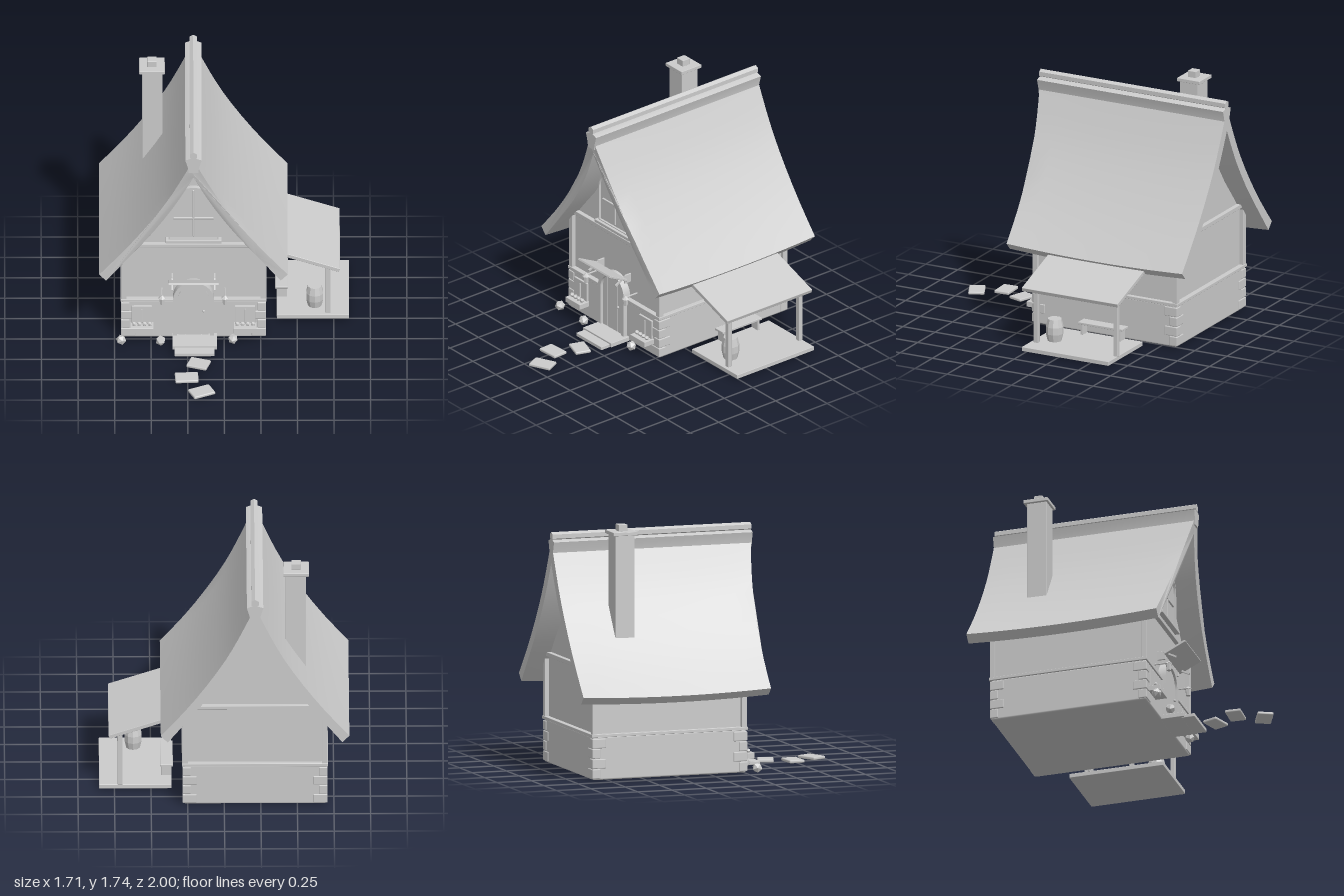
import * as THREE from 'three';
import { toCreasedNormals } from 'three/addons/utils/BufferGeometryUtils.js';
import { RoundedBoxGeometry } from 'three/addons/geometries/RoundedBoxGeometry.js';

const CX = -0.21; // centre line of the house
const V = (x, y) => new THREE.Vector2(x, y);

export function createModel() {
  const model = new THREE.Group();
  const mat = new THREE.MeshStandardMaterial({ color: 0xcccccc });
  const flat = new THREE.MeshStandardMaterial({ color: 0xcccccc, flatShading: true });

  function add(name, geo, x = 0, y = 0, z = 0, material = mat) {
    const mesh = new THREE.Mesh(geo, material);
    mesh.name = name;
    mesh.position.set(x, y, z);
    model.add(mesh);
    return mesh;
  }
  // Box given by its limits on each axis, with a small rounded edge
  function box(name, x0, x1, y0, y1, z0, z1, r = 0.003) {
    const geo = new RoundedBoxGeometry(x1 - x0, y1 - y0, z1 - z0, 1, r);
    return add(name, geo, (x0 + x1) / 2, (y0 + y1) / 2, (z0 + z1) / 2);
  }
  function extrude(name, shape, z0, z1, steps = 1) {
    const geo = new THREE.ExtrudeGeometry(shape, { depth: z1 - z0, steps, bevelEnabled: false, curveSegments: 12 });
    geo.translate(0, 0, z0);
    return add(name, toCreasedNormals(geo, 0.5));
  }
  const arch = (Type, r, y0, yc) => new Type()
    .moveTo(CX - r, y0).lineTo(CX + r, y0).lineTo(CX + r, yc).absarc(CX, yc, r, 0, Math.PI, false).lineTo(CX - r, y0);
  // Closed symmetrical outline from points (distance from centre line, height)
  const mirrored = (pts) => new THREE.Shape([
    ...pts.map(p => V(CX + p.x, p.y)), ...[...pts].reverse().filter(p => p.x > 0).map(p => V(CX - p.x, p.y))]);

  // Stone base with corner quoins
  box('stoneBase', -0.7, 0.28, 0.01, 0.31, -0.875, 0.242, 0.012);
  for (const sx of [-1, 1]) for (const sz of [-1, 1]) for (let i = 0; i < 4; i++) {
    const w = i % 2 ? 0.06 : 0.1, d = i % 2 ? 0.1 : 0.06;
    const x = CX + sx * (0.497 - w / 2), z = -0.3165 + sz * (0.5645 - d / 2), y = 0.02 + i * 0.07;
    box('cornerStone', x - w / 2, x + w / 2, y, y + 0.066, z - d / 2, z + d / 2, 0.006);
  }

  // Plaster walls and timber frame
  box('upperWall', -0.68, 0.26, 0.3, 0.75, -0.85, 0.215);
  box('lowerBeam', -0.71, 0.29, 0.305, 0.327, -0.885, 0.25);
  for (const x of [-0.705, 0.247]) for (const z of [-0.88, 0.207]) box('cornerPost', x, x + 0.038, 0.32, 0.74, z, z + 0.038);
  for (const z of [-0.88, 0.207]) box('upperBeam', -0.667, 0.247, 0.745, 0.775, z, z + 0.038);
  extrude('gable', mirrored([V(0.43, 0.76), V(0.42, 0.775), V(0.245, 0.985), V(0.175, 1.085),
    V(0.11, 1.18), V(0.038, 1.34), V(0, 1.44)]), -0.85, 0.215);

  // Swept roof: curved profile, front edge leaning out at the top, eaves sagging midway
  const smooth = (pts) => new THREE.SplineCurve(pts).getPoints(10);
  const outer = smooth([V(0.645, 0.607), V(0.48, 0.8), V(0.33, 1.0), V(0.2, 1.2), V(0.11, 1.37), V(0.035, 1.53)]);
  const inner = smooth([V(0.597, 0.557), V(0.43, 0.765), V(0.277, 0.963), V(0.143, 1.17), V(0.053, 1.34), V(0, 1.45)]);
  const left = [...outer].reverse().map(p => V(CX - p.x, p.y));
  const under = [...inner.map(p => V(CX - p.x, p.y)), ...inner.slice(0, -1).reverse().map(p => V(CX + p.x, p.y))];
  const roofShape = new THREE.Shape([...outer.map(p => V(CX + p.x, p.y)), ...left, ...under]);
  const roofGeo = new THREE.ExtrudeGeometry(roofShape, { depth: 1, steps: 10, bevelEnabled: false });
  const pos = roofGeo.attributes.position;
  for (let i = 0; i < pos.count; i++) {
    const u = pos.getZ(i), y = pos.getY(i), t = Math.max(0, (y - 0.58) / 0.95);
    pos.setZ(i, -1 + u * (1.365 + 0.075 * t * t));
    pos.setY(i, y - 0.08 * u * (1 - u) * (1 - t));
  }
  add('roof', toCreasedNormals(roofGeo, 0.5));
  extrude('ridgeCap', mirrored([V(0.033, 1.5), V(0.038, 1.54), V(0.056, 1.602), V(0.02, 1.615)]), -1, 0.447);
  const pole = add('ridgePole', new THREE.CylinderGeometry(0.029, 0.029, 1.448, 6), CX, 1.637, -0.276, flat);
  pole.rotation.x = Math.PI / 2;

  // Chimney
  box('chimneyShaft', -0.56, -0.42, 0.85, 1.672, -0.66, -0.52);
  box('chimneyCap', -0.58, -0.405, 1.67, 1.695, -0.68, -0.505);
  box('chimneyPot', -0.525, -0.46, 1.693, 1.74, -0.623, -0.56);

  // Gable window
  const frame = arch(THREE.Shape, 0.17, 0.815, 1.07);
  frame.holes.push(arch(THREE.Path, 0.162, 0.823, 1.07));
  extrude('gableWindowFrame', frame, 0.2, 0.245);
  extrude('gableWindowPane', arch(THREE.Shape, 0.164, 0.82, 1.07), 0.2, 0.23);
  box('gableWindowBar', CX - 0.006, CX + 0.006, 0.838, 1.215, 0.22, 0.242);
  box('gableWindowBar', -0.347, -0.073, 0.978, 0.992, 0.22, 0.242);
  box('gableWindowSill', -0.4, -0.017, 0.795, 0.817, 0.2, 0.265);

  // Door with arched surround
  const surround = arch(THREE.Shape, 0.14, 0.03, 0.335);
  surround.holes.push(arch(THREE.Path, 0.112, 0.03, 0.335));
  extrude('doorSurround', surround, 0.2, 0.272);
  extrude('door', arch(THREE.Shape, 0.113, 0.03, 0.335), 0.2, 0.25);
  const plank = (x0, x1) => {
    const top = (x) => 0.335 + Math.sqrt(0.105 ** 2 - (x - CX) ** 2);
    const pts = [V(x0, 0.035), V(x1, 0.035)];
    for (let i = 0; i <= 6; i++) pts.push(V(x1 + (x0 - x1) * i / 6, top(x1 + (x0 - x1) * i / 6)));
    extrude('doorPlank', new THREE.Shape(pts), 0.24, 0.258);
  };
  for (const [a, b] of [[-0.104, -0.058], [-0.053, 0.053], [0.058, 0.104]]) plank(CX + a, CX + b);
  add('doorKnob', new THREE.SphereGeometry(0.009, 10, 8), -0.14, 0.24, 0.266);
  box('upperStep', -0.355, -0.048, 0.01, 0.042, 0.23, 0.4);
  box('lowerStep', -0.34, -0.065, 0.005, 0.03, 0.38, 0.473);

  // Door awning on brackets
  const awning = add('awning', new RoundedBoxGeometry(0.347, 0.016, 0.17, 1, 0.003), CX, 0.528, 0.344);
  awning.rotation.x = -0.46;
  for (const s of [-1, 1]) {
    const brace = add('awningBracket', new THREE.BoxGeometry(0.012, 0.012, 0.1), CX + s * 0.145, 0.487, 0.305);
    brace.rotation.x = 0.5;
    box('awningBracketPost', CX + s * 0.145 - 0.006, CX + s * 0.145 + 0.006, 0.455, 0.52, 0.21, 0.27);
  }

  // Lanterns, windows with flower boxes
  for (const s of [-1, 1]) {
    const lx = CX + s * 0.215;
    add('lantern', new THREE.CylinderGeometry(0.021, 0.016, 0.048, 6), lx, 0.358, 0.317, flat);
    add('lanternRoof', new THREE.ConeGeometry(0.027, 0.024, 6), lx, 0.394, 0.317, flat);
    box('lanternArm', lx - 0.005, lx + 0.005, 0.388, 0.398, 0.21, 0.32);

    const wx = CX + s * 0.353;
    box('windowFrame', wx - 0.07, wx + 0.07, 0.13, 0.272, 0.22, 0.256);
    box('windowBar', wx - 0.004, wx + 0.004, 0.14, 0.252, 0.25, 0.264);
    box('flowerBox', wx - 0.079, wx + 0.079, 0.096, 0.135, 0.235, 0.325);
    for (let i = 0; i < 4; i++)
      add('flower', new THREE.IcosahedronGeometry(0.017, 0), wx - 0.054 + i * 0.036, 0.148, 0.285, flat);
  }

  // Rocks and path stones
  for (const [x, z, a] of [[-0.705, 0.32, 0.3], [-0.435, 0.33, 1.1], [0.06, 0.31, 2]])
    add('rock', new THREE.IcosahedronGeometry(0.036, 0), x, 0.04, z, flat).rotation.set(a, a, 0);
  for (const [x, z, w, a] of [[-0.175, 0.572, 0.145, -0.33], [-0.257, 0.742, 0.16, 0.05], [-0.155, 0.915, 0.16, 0.44]])
    add('pathStone', new RoundedBoxGeometry(w, 0.022, 0.112, 1, 0.008), x, 0.011, z).rotation.y = a;

  // Side porch
  box('porchFloor', 0.36, 0.855, 0.012, 0.042, -0.655, 0.02);
  for (const z of [-0.02, -0.64]) box('porchPost', 0.695, 0.728, 0.04, 0.455, z - 0.016, z + 0.016);
  const slope = Math.atan2(-0.155, 0.455);
  add('porchRoof', new RoundedBoxGeometry(0.56, 0.028, 0.745, 1, 0.003), 0.523, 0.521, -0.318).rotation.z = slope;

  // Barrel and bench
  const staves = [V(0, 0), V(0.048, 0), V(0.061, 0.055), V(0.061, 0.105), V(0.048, 0.16), V(0, 0.16)];
  add('barrel', new THREE.LatheGeometry(staves, 10), 0.62, 0.04, -0.11, flat);
  box('benchSeat', 0.35, 0.437, 0.115, 0.132, -0.535, -0.19);
  for (const z of [-0.215, -0.51]) box('benchLeg', 0.36, 0.43, 0.04, 0.118, z - 0.009, z + 0.009);

  return model;
}
